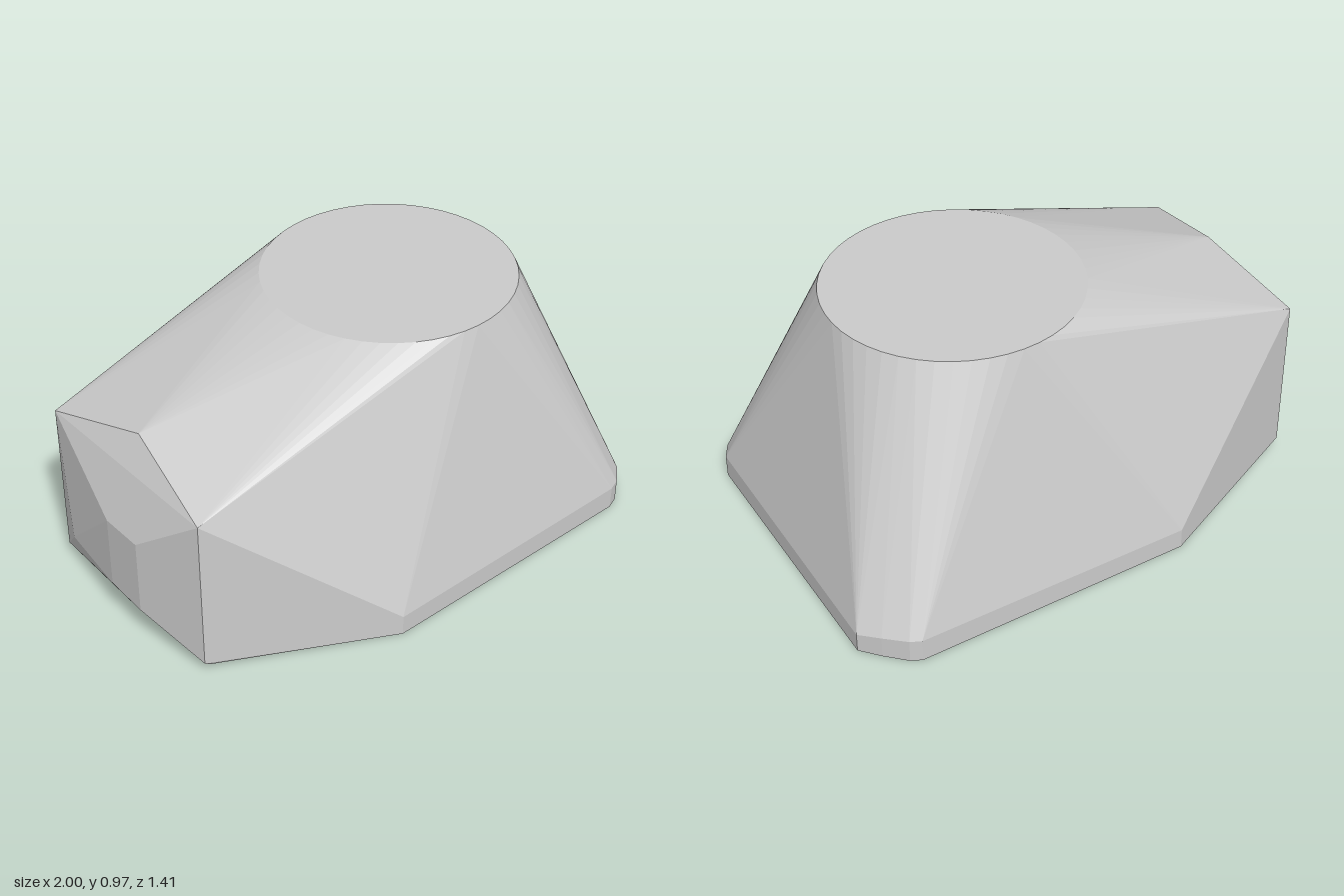
import * as THREE from 'three';
import { ConvexGeometry } from 'three/addons/geometries/ConvexGeometry.js';

export function createModel() {
  const group = new THREE.Group();
  const points = [];
  const add = (x, y, z) => points.push(new THREE.Vector3(x, y, z));

  // Round flat top
  const segments = 48;
  for (let i = 0; i < segments; i++) {
    const a = (i / segments) * Math.PI * 2;
    add(0.28 + 0.475 * Math.cos(a), 0.97, -0.01 + 0.475 * Math.sin(a));
  }

  // Base plinth outline with clipped, rounded corners, and its height
  const base = [
    [-0.26, -0.71, 0.08], [0.83, -0.71, 0.09], [0.87, -0.69, 0.09], [0.94, -0.62, 0.085], [1, -0.55, 0.075],
    [0.98, 0.55, 0.09], [0.945, 0.61, 0.09], [0.88, 0.67, 0.09], [0.83, 0.69, 0.09], [-0.26, 0.705, 0.08],
  ];
  for (const [x, z, h] of base) {
    add(x, 0, z);
    add(x, h, z);
  }

  // Snout: upright side edges
  for (const z of [-0.435, 0.41]) {
    add(-0.92, 0.66, z);
    add(-0.92, 0.045, z);
    add(-0.9, 0.03, z);
  }
  // Snout: ridge peak and blunt nose facet
  add(-0.85, 0.77, -0.01);
  add(-1, 0.46, -0.02);
  add(-1, 0.46, 0.15);
  add(-1, 0.16, 0.15);
  add(-1, 0.17, -0.02);
  add(-0.957, 0.16, -0.33);

  const body = new THREE.Mesh(
    new ConvexGeometry(points),
    new THREE.MeshStandardMaterial({ color: 0xcccccc, flatShading: true })
  );
  body.name = 'facetedBody';
  group.add(body);
  return group;
}
